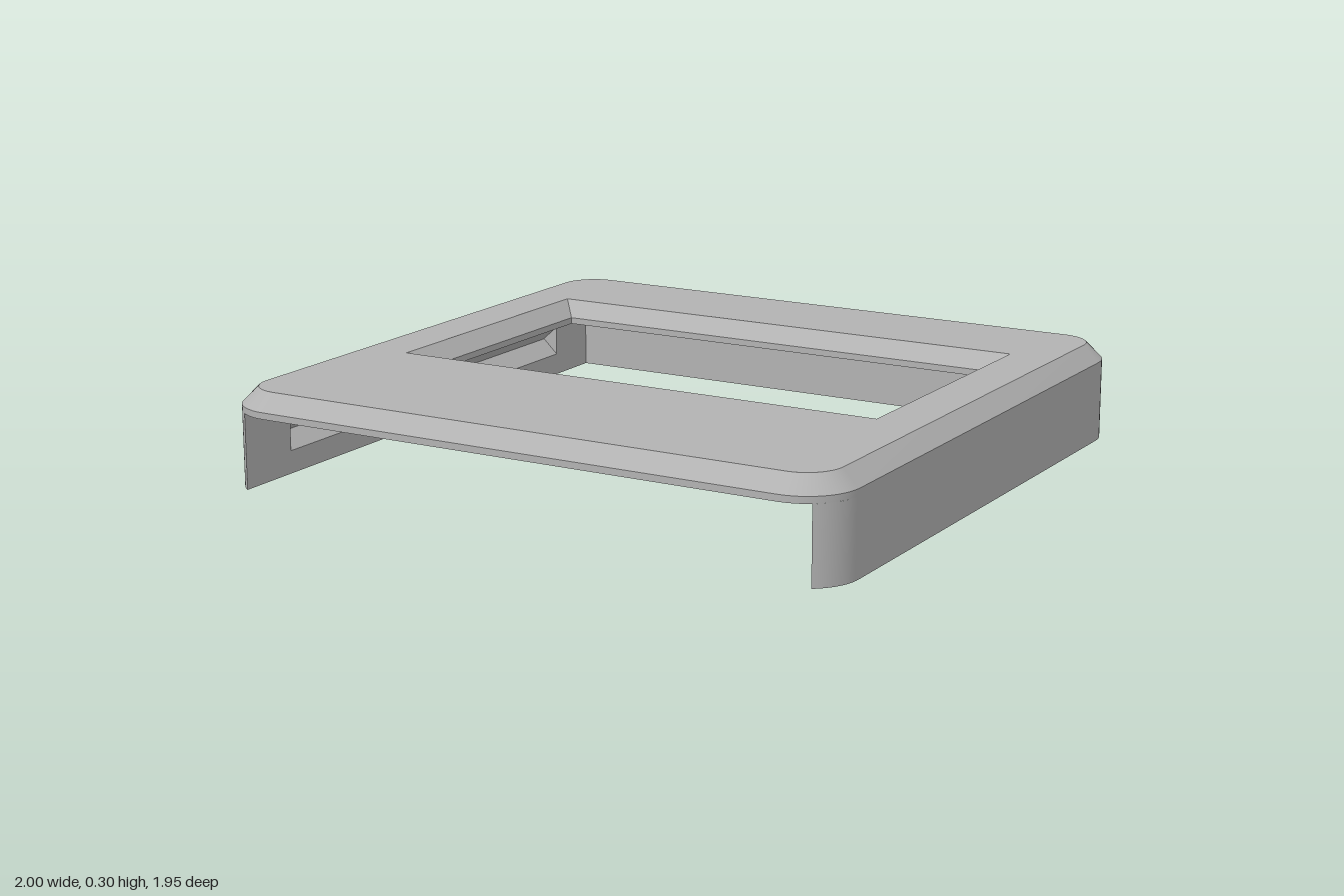
import * as THREE from 'three';
import { toCreasedNormals } from 'three/addons/utils/BufferGeometryUtils.js';

const HZ = 0.977, R = 0.16, INNER = 0.93, BACK = -0.907;
const SLAB = 0.23, EDGE = 0.25, TOP = 0.3, BEVEL = 0.05;

// Points [x, z] of an arc
function arc(cx, cz, r, a0, a1, n = 12) {
  return Array.from({ length: n + 1 }, (_, i) => {
    const a = a0 + (a1 - a0) * i / n;
    return [cx + r * Math.cos(a), cz + r * Math.sin(a)];
  });
}

// Rounded outline; trim shortens the two front corners
function outline(inset, trim = Math.PI / 2) {
  const r = R - inset, x = 1 - R, z = HZ - R, q = Math.PI / 2;
  return [
    ...arc(x, z, r, trim, 0), ...arc(x, -z, r, 0, -q),
    ...arc(-x, -z, r, -q, -2 * q), ...arc(-x, z, r, -2 * q, -2 * q - trim),
  ];
}

const rect = (hx, z0, z1) => [[-hx, z1], [hx, z1], [hx, z0], [-hx, z0]];
const at = (path, y) => path.map(([x, z]) => [x, y, z]);

function fromTriangles(points) {
  const g = new THREE.BufferGeometry();
  g.setAttribute('position', new THREE.Float32BufferAttribute(points.flat(), 3));
  return toCreasedNormals(g, 0.4);
}

// Skin between successive rings of 3D points
function loft(rings, closed) {
  const tris = [];
  for (let k = 0; k + 1 < rings.length; k++) {
    const a = rings[k], b = rings[k + 1], n = a.length;
    for (let i = 0; i < (closed ? n : n - 1); i++) {
      const j = (i + 1) % n;
      tris.push(a[i], a[j], b[j], a[i], b[j], b[i]);
    }
  }
  return fromTriangles(tris);
}

function flat(points, hole) {
  const toVec = (list) => list.map(([x, y]) => new THREE.Vector2(x, y));
  const shape = new THREE.Shape(toVec(points));
  if (hole) shape.holes.push(new THREE.Path(toVec(hole)));
  return new THREE.ShapeGeometry(shape);
}

// Horizontal face at height y
function level(points, hole, y, up) {
  const s = up ? -1 : 1;
  const turn = (list) => list && list.map(([x, z]) => [x, s * z]);
  return flat(turn(points), turn(hole)).rotateX(s * Math.PI / 2).translate(0, y, 0);
}

// Mirror across x with the corner order reversed
function mirrored(geometry) {
  const p = (geometry.index ? geometry.toNonIndexed() : geometry).getAttribute('position');
  const tris = [];
  for (let i = 0; i < p.count; i += 3) {
    for (const k of [i, i + 2, i + 1]) tris.push([-p.getX(k), p.getY(k), p.getZ(k)]);
  }
  return fromTriangles(tris);
}

export function createModel() {
  const model = new THREE.Group();
  model.name = 'displayCover';
  const gray = new THREE.MeshStandardMaterial({ color: 0xb2b2b2 });
  gray.name = 'plainGray';
  const add = (name, geometry, parent) => {
    const mesh = new THREE.Mesh(geometry, gray);
    mesh.name = name;
    parent.add(mesh);
  };
  const group = (name) => {
    const g = new THREE.Group();
    g.name = name;
    model.add(g);
    return g;
  };

  // Top plate with chamfered rim and bevelled window
  const plate = group('topPlate');
  const outer = outline(0), crown = outline(BEVEL);
  const wide = rect(0.802, -0.592, 0.323), narrow = rect(0.755, -0.543, 0.275);
  add('plateTop', level(crown, wide, TOP, true), plate);
  add('plateUnderside', level(outer, narrow, SLAB, false), plate);
  add('plateRim', loft([at(outer, SLAB), at(outer, EDGE), at(crown, TOP)], true), plate);
  add('windowBevel', loft([at(wide, TOP), at(narrow, EDGE), at(narrow, SLAB)], true), plate);

  // Skirt on three sides, open at the front
  const skirt = group('skirt');
  const trim = Math.acos((INNER - 1 + R) / R);
  const path = outline(0, trim);
  const foot = [...path, [-INNER, BACK], [INNER, BACK]];
  add('skirtOutside', loft([at(path, 0), at(path, SLAB)], false), skirt);
  add('skirtFoot', level(foot, null, 0, false), skirt);
  const backLine = [[-INNER, BACK], [INNER, BACK]];
  add('backInside', loft([at(backLine, 0), at(backLine, SLAB)], false), skirt);

  // Inner side faces, each with a V-shaped groove
  const tip = path[0][1], z0 = -0.72, z1 = 0.74, y0 = 0.07, y1 = 0.165;
  const side = flat(
    [[BACK, 0], [tip, 0], [tip, SLAB], [BACK, SLAB]],
    [[z0, y0], [z1, y0], [z1, y1], [z0, y1]],
  ).rotateY(-Math.PI / 2).translate(INNER, 0, 0);
  const vee = (z) => [[INNER, y0, z], [INNER + 0.05, (y0 + y1) / 2, z], [INNER, y1, z]];
  const groove = loft([vee(z1), vee(z0)], false);
  const ends = fromTriangles([...vee(z0), ...vee(z1).reverse()]);
  for (const [name, geometry] of [['SideInside', side], ['Groove', groove], ['GrooveEnds', ends]]) {
    add('left' + name, geometry, skirt);
    add('right' + name, mirrored(geometry), skirt);
  }
  return model;
}
